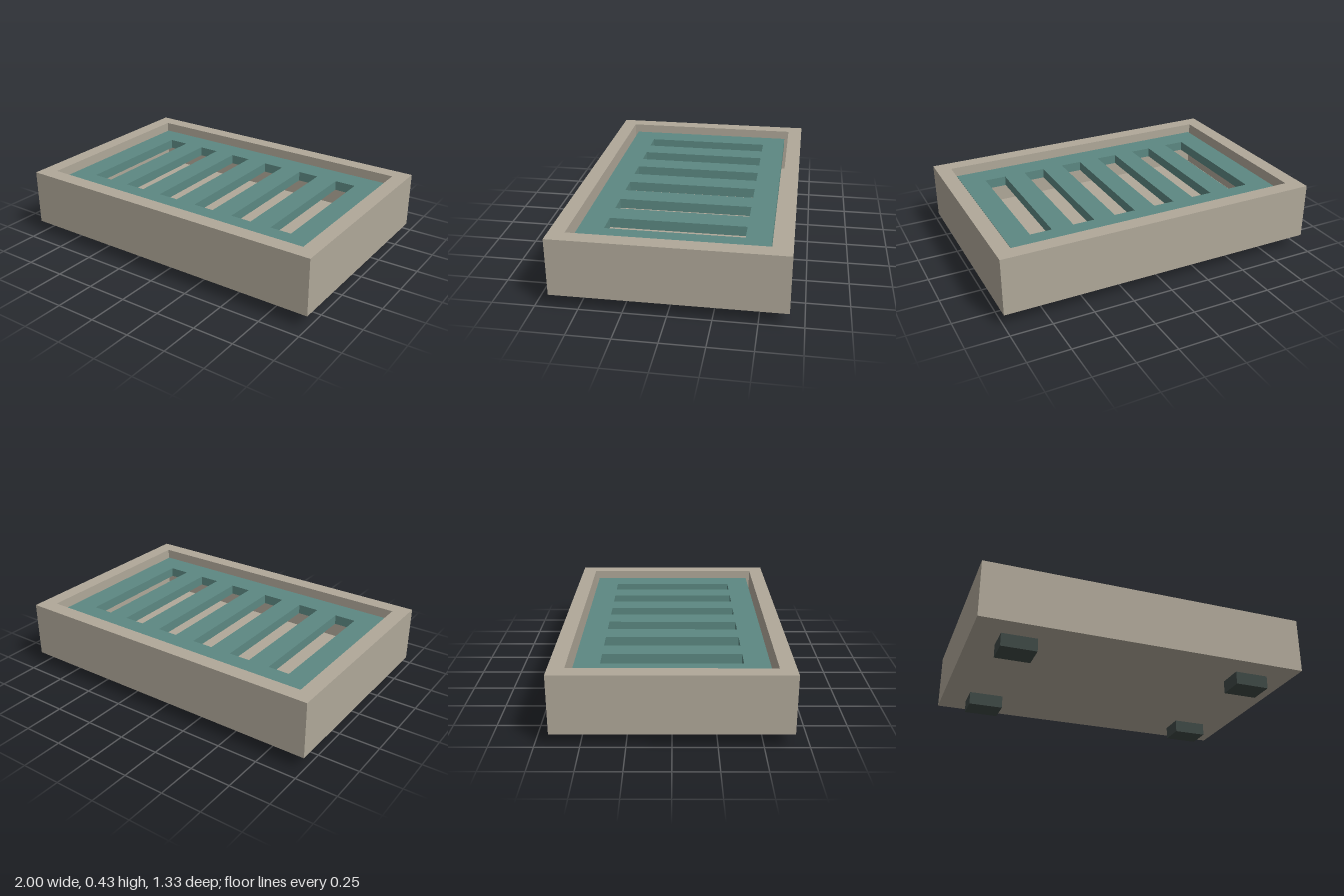
import * as THREE from 'three';

const material = (color) => new THREE.MeshStandardMaterial({ color });

// Corner points of a rectangle centred on (cx, 0)
function rectangle(width, depth, cx = 0) {
  const w = width / 2, d = depth / 2;
  return [[-w, -d], [w, -d], [w, d], [-w, d]].map(([x, y]) => new THREE.Vector2(cx + x, y));
}

// Horizontal plate between two heights, with cut-outs
function plate(name, outline, holes, bottom, top, mat) {
  const shape = new THREE.Shape(outline);
  shape.holes = holes.map((points) => new THREE.Path(points));
  const geometry = new THREE.ExtrudeGeometry(shape, { depth: top - bottom, bevelEnabled: false });
  geometry.rotateX(-Math.PI / 2).translate(0, bottom, 0);
  const mesh = new THREE.Mesh(geometry, mat);
  mesh.name = name;
  return mesh;
}

export function createModel() {
  const model = new THREE.Group();
  model.name = 'drainTray';
  const tan = material(0xb0a899);
  const teal = material(0x5c8882);
  const dark = material(0x3e4845);

  const base = 0.08, floorTop = 0.133, rim = 0.427;
  const outer = rectangle(2, 1.333);

  // Tray: thin floor with a walled frame standing on it
  const tray = new THREE.Group();
  tray.name = 'tray';
  tray.add(
    plate('trayFloor', outer, [], base, floorTop, tan),
    plate('trayWalls', outer, [rectangle(1.813, 1.147)], floorTop, rim, tan)
  );
  model.add(tray);

  // Slotted grate, set a little below the rim
  const slots = [];
  for (let i = 0; i < 6; i++) slots.push(rectangle(0.133, 0.8, (i - 2.5) * 0.2667));
  model.add(plate('grate', rectangle(1.76, 1.093), slots, 0.32, 0.38, teal));

  // Four feet
  const footGeometry = new THREE.BoxGeometry(0.213, base, 0.16);
  for (const x of [-1, 1]) {
    for (const z of [-1, 1]) {
      const foot = new THREE.Mesh(footGeometry, dark);
      foot.name = (z > 0 ? 'front' : 'back') + (x > 0 ? 'Left' : 'Right') + 'Foot';
      foot.position.set(x * 0.733, base / 2, z * 0.44);
      model.add(foot);
    }
  }
  return model;
}
